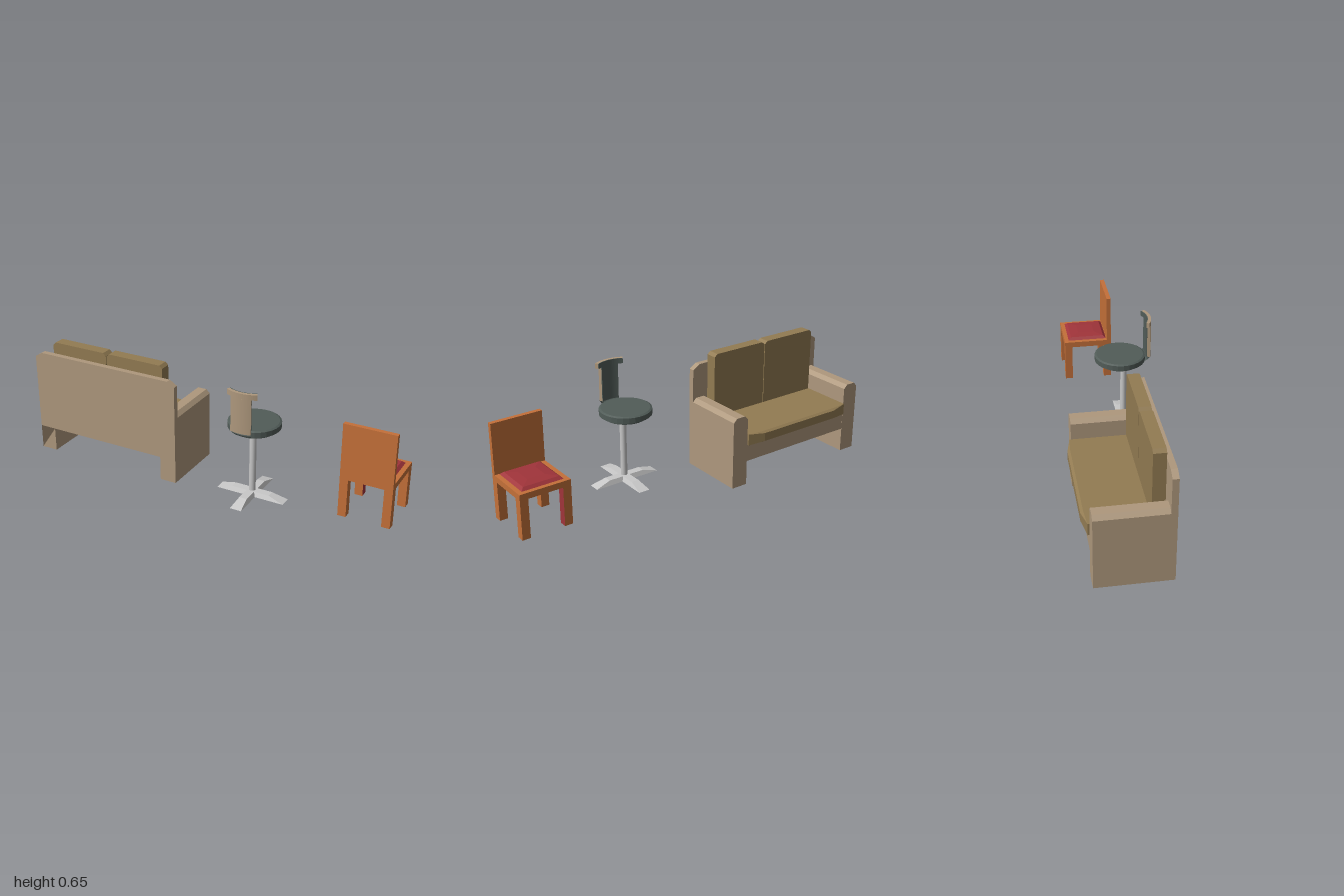
import * as THREE from 'three';
import { ConvexGeometry } from 'three/addons/geometries/ConvexGeometry.js';

const mat = (name, color, side = THREE.FrontSide) => {
  const m = new THREE.MeshStandardMaterial({ color, side });
  m.name = name;
  return m;
};

export function createModel() {
  const beige = mat('beige upholstery', 0xae987d, THREE.DoubleSide);
  const olive = mat('olive cushion', 0x927b52);
  const wood = mat('orange wood', 0xc47039);
  const red = mat('red cushion', 0xa0343a);
  const grey = mat('dark grey leather', 0x515c58, THREE.DoubleSide);
  const metal = mat('pale metal', 0xc8c8c8);

  const add = (parent, name, geometry, material) => {
    const mesh = new THREE.Mesh(geometry, material);
    mesh.name = name;
    parent.add(mesh);
    return mesh;
  };
  const group = (parent, name) => {
    const g = new THREE.Group();
    g.name = name;
    parent.add(g);
    return g;
  };
  // Box given by its limits
  const box = (x0, x1, y0, y1, z0, z1) => new THREE.BoxGeometry(x1 - x0, y1 - y0, z1 - z0)
    .translate((x0 + x1) / 2, (y0 + y1) / 2, (z0 + z1) / 2);
  const shape = (pts) => new THREE.Shape(pts.map(([x, y]) => new THREE.Vector2(x, y)));
  const extrude = (s, depth, curveSegments = 8) =>
    new THREE.ExtrudeGeometry(s, { depth, bevelEnabled: false, curveSegments });
  // Slab along z whose upper corners are cut off
  const cutSlab = (x0, x1, y0, y1, z0, z1, cx, cy) => extrude(shape([
    [x0, y0], [x1, y0], [x1, y1 - cy], [x1 - cx, y1], [x0 + cx, y1], [x0, y1 - cy],
  ]), z1 - z0).translate(0, 0, z0);

  const model = new THREE.Group();
  model.name = 'furnitureSet';

  // Sofa, with its back panel towards the front
  const sofa = group(model, 'sofa');
  add(sofa, 'backPanel', cutSlab(-1, -0.15, 0.13, 0.565, 0.085, 0.115, 0.04, 0.025), beige);
  add(sofa, 'seatBase', box(-0.91, -0.24, 0.13, 0.222, -0.249, 0.085), beige);
  for (const [side, x0, x1] of [['right', -1, -0.91], ['left', -0.24, -0.15]]) {
    add(sofa, side + 'Arm', cutSlab(x0, x1, 0.13, 0.383, -0.25, 0.085, 0.02, 0.02), beige);
    const leg = box(x0, x1, 0, 0.13, -0.25, 0.115);
    // The right leg has a half-open end
    if (side === 'right') {
      const index = Array.from(leg.index.array);
      index.splice(24, 3);
      leg.setIndex(index);
      leg.clearGroups();
    }
    add(sofa, side + 'Leg', leg, beige);
  }
  for (const [side, x0, x1] of [['right', -0.905, -0.574], ['left', -0.57, -0.238]]) {
    add(sofa, side + 'BackCushion', cutSlab(x0, x1, 0.25, 0.625, 0.02, 0.08, 0.016, 0.015), olive);
  }
  // Seat cushion with a bowed, slightly rounded front
  const cushionOutline = (f) => [
    [-0.908, 0.08], [-0.242, 0.08], [-0.242, -0.258], [-0.333, -f], [-0.815, -f], [-0.908, -0.258],
  ];
  const layer = (f, y) => cushionOutline(f).map(([x, z]) => new THREE.Vector3(x, y, z));
  add(sofa, 'seatCushion', new ConvexGeometry([
    ...layer(0.265, 0.22), ...layer(0.278, 0.228), ...layer(0.278, 0.272), ...layer(0.265, 0.28),
  ]), olive);

  // Swivel stool
  const stool = group(model, 'stool');
  stool.position.set(0.276, 0, 0.072);
  const lathe = (pts, n = 28) => {
    const g = new THREE.LatheGeometry(pts.map(([r, y]) => new THREE.Vector2(r, y)), n).toNonIndexed();
    g.computeVertexNormals();
    return g;
  };
  add(stool, 'seat', lathe([
    [0.08, 0.402], [0.108, 0.402], [0.11, 0.418], [0.132, 0.418], [0.132, 0.445], [0.122, 0.45], [0, 0.45],
  ]), grey);
  add(stool, 'seatUnderside', lathe([[0, 0.385], [0.03, 0.385], [0.083, 0.402]]), beige);

  // Curved back pieces follow the rim of the seat
  const arcSlab = (rIn, rOut, y0, y1, a) => {
    const s = new THREE.Shape();
    s.absarc(0, 0, rOut, -Math.PI / 2 - a, -Math.PI / 2 + a, false);
    s.absarc(0, 0, rIn, -Math.PI / 2 + a, -Math.PI / 2 - a, true);
    return extrude(s, y1 - y0).rotateX(-Math.PI / 2).translate(0, y0, 0);
  };
  for (const [name, y0, y1, a] of [['backrestUpright', 0.445, 0.626, 0.342], ['backrestHead', 0.626, 0.653, 0.52]]) {
    add(stool, name, arcSlab(0.144, 0.161, y0, y1, a), beige);
    add(stool, name + 'Lining', arcSlab(0.14, 0.1439, y0, y1, a), grey);
  }
  add(stool, 'backrestLink', new THREE.LatheGeometry(
    [[0.125, 0.42], [0.137, 0.42], [0.161, 0.445], [0.125, 0.445], [0.125, 0.42]].map(([r, y]) => new THREE.Vector2(r, y)),
    8, -0.342, 0.684), grey);

  // Column and cross-shaped foot
  const foot = group(stool, 'stand');
  foot.position.set(0.004, 0, 0.021);
  add(foot, 'column', new THREE.CylinderGeometry(0.017, 0.017, 0.32, 16).translate(0, 0.23, 0), metal);
  const barPoints = [];
  for (const sx of [-1, 1]) for (const sz of [-1, 1]) {
    barPoints.push(new THREE.Vector3(sx * 0.181, 0.052, sz * 0.03));
    barPoints.push(new THREE.Vector3(sx * 0.1, 0.075, sz * 0.02));
  }
  for (const turn of [0, 1]) {
    add(foot, 'footBar', new ConvexGeometry(barPoints), metal).rotation.y = turn * Math.PI / 2;
  }

  // Wooden chair
  const chair = group(model, 'chair');
  const [cx0, cx1, cz0, cz1] = [0.735, 0.997, -0.167, 0.095];
  const frame = shape([[cx0, -cz1], [cx1, -cz1], [cx1, -cz0], [cx0, -cz0]]);
  frame.holes.push(new THREE.Path([
    [0.765, -0.068], [0.765, 0.14], [0.968, 0.14], [0.968, -0.068],
  ].map(([x, y]) => new THREE.Vector2(x, y))));
  add(chair, 'seatFrame', extrude(frame, 0.031).rotateX(-Math.PI / 2).translate(0, 0.262, 0), wood);
  add(chair, 'backrest', box(cx0, cx1, 0.293, 0.55, 0.072, cz1), wood);
  for (const x of [cx0, cx1 - 0.042]) for (const z of [cz0, cz1 - 0.04]) {
    // One back leg is red on its inner face
    const painted = x === cx0 && z === cz0;
    add(chair, 'leg', box(x, x + 0.042, 0.062, 0.262, z, z + 0.04),
      painted ? [red, wood, wood, wood, wood, wood] : wood);
  }
  // Domed seat pad, also seen from below
  const padPoints = [];
  for (const [h, y] of [[0.1, 0.264], [0.107, 0.293], [0.092, 0.306], [0.045, 0.311]]) {
    for (const sx of [-1, 1]) for (const sz of [-1, 1]) {
      padPoints.push(new THREE.Vector3(0.866 + sx * h, y, -0.037 + sz * h));
    }
  }
  add(chair, 'seatPad', new ConvexGeometry(padPoints), red);

  return model;
}
